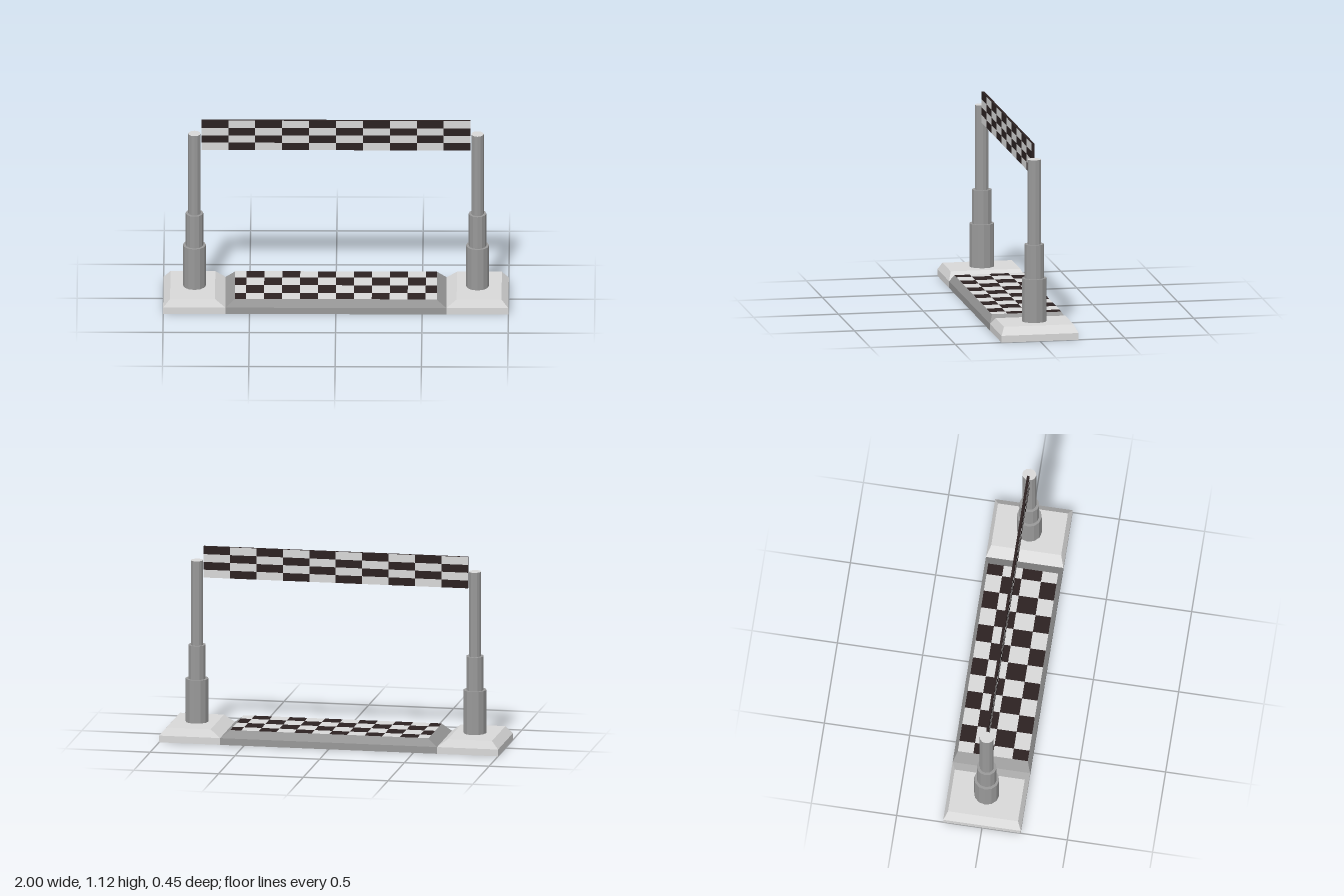
import * as THREE from 'three';
import { mergeGeometries } from 'three/addons/utils/BufferGeometryUtils.js';
import { ConvexGeometry } from 'three/addons/geometries/ConvexGeometry.js';

const makeMaterial = (name, color, flatShading = false) => {
  const m = new THREE.MeshStandardMaterial({ color, flatShading });
  m.name = name;
  return m;
};

// Solid with a vertical skirt and bevelled top; each level is [y, x0, x1, halfDepth]
function bevelledSlab(levels) {
  const points = [];
  for (const [y, x0, x1, d] of levels)
    for (const x of [x0, x1])
      for (const z of [-d, d]) points.push(new THREE.Vector3(x, y, z));
  return new ConvexGeometry(points);
}

// Flat checkerboard in the xy plane, split into one mesh per colour
function checkerboard(name, xs, ys, light, dark, darkParity) {
  const cells = [[], []];
  for (let i = 0; i < xs.length - 1; i++)
    for (let j = 0; j < ys.length - 1; j++) {
      const g = new THREE.PlaneGeometry(xs[i + 1] - xs[i], ys[j + 1] - ys[j]);
      g.translate((xs[i] + xs[i + 1]) / 2, (ys[j] + ys[j + 1]) / 2, 0);
      cells[(i + j) % 2 === darkParity ? 1 : 0].push(g);
    }
  const group = new THREE.Group();
  group.name = name;
  [light, dark].forEach((material, k) => {
    const mesh = new THREE.Mesh(mergeGeometries(cells[k]), material);
    mesh.name = name + (k ? 'DarkSquares' : 'LightSquares');
    group.add(mesh);
  });
  return group;
}

export function createModel() {
  const light = makeMaterial('lightGrey', 0xd8d8d8);
  const grey = makeMaterial('midGrey', 0x999999, true);
  const dark = makeMaterial('nearBlack', 0x2c2222);

  const model = new THREE.Group();
  model.name = 'finishGate';
  const add = (parent, name, geometry, material) => {
    const mesh = new THREE.Mesh(geometry, material);
    mesh.name = name;
    parent.add(mesh);
    return mesh;
  };

  // Ramp between the two posts
  add(model, 'ramp', bevelledSlab([
    [0, -0.64, 0.64, 0.227], [0.04, -0.64, 0.64, 0.227], [0.084, -0.585, 0.585, 0.205],
  ]), grey);

  // Chequered ramp surface, with half-width squares at both ends
  const xs = [-0.585];
  for (let k = -5; k <= 5; k++) xs.push(k * 0.104);
  xs.push(0.585);
  const surface = checkerboard('rampSurface', xs, [-0.205, -0.114, 0, 0.114, 0.205], light, dark, 0);
  surface.rotation.x = -Math.PI / 2;
  surface.position.y = 0.0855;
  model.add(surface);

  // Feet and telescopic posts: [bottom, top, radius across x, radius across z]
  const tiers = [
    [0.08, 0.34, 0.067, 0.073],
    [0.34, 0.54, 0.051, 0.058],
    [0.54, 1.04, 0.036, 0.041],
  ];
  for (const s of [-1, 1]) {
    const side = new THREE.Group();
    side.name = s > 0 ? 'leftPost' : 'rightPost';
    add(side, 'foot', bevelledSlab([
      [0, s * 0.64, s, 0.227], [0.04, s * 0.64, s, 0.227], [0.085, s * 0.70, s * 0.96, 0.205],
    ]), light);
    tiers.forEach(([y0, y1, rx, rz], i) => {
      const g = new THREE.CylinderGeometry(1, 1, y1 - y0, 12);
      g.scale(rx, 1, rz);
      g.translate(s * 0.82, (y0 + y1) / 2, 0);
      // Only the uppermost tier has a light cap
      add(side, 'postTier' + (i + 1), g, i === 2 ? [grey, light, grey] : grey);
    });
    model.add(side);
  }

  // Banner: dark panel with a chequered face on each side
  const banner = new THREE.Group();
  banner.name = 'banner';
  banner.position.y = 1.0325;
  add(banner, 'bannerPanel', new THREE.BoxGeometry(1.56, 0.185, 0.015), dark);
  const bx = Array.from({ length: 11 }, (_, i) => -0.78 + i * 0.156);
  const by = Array.from({ length: 5 }, (_, j) => -0.0925 + j * 0.04625);
  for (const back of [0, 1]) {
    const face = checkerboard(back ? 'bannerBack' : 'bannerFront', bx, by, light, dark, 1);
    face.rotation.y = back * Math.PI;
    face.position.z = back ? -0.0085 : 0.0085;
    banner.add(face);
  }
  model.add(banner);

  return model;
}
